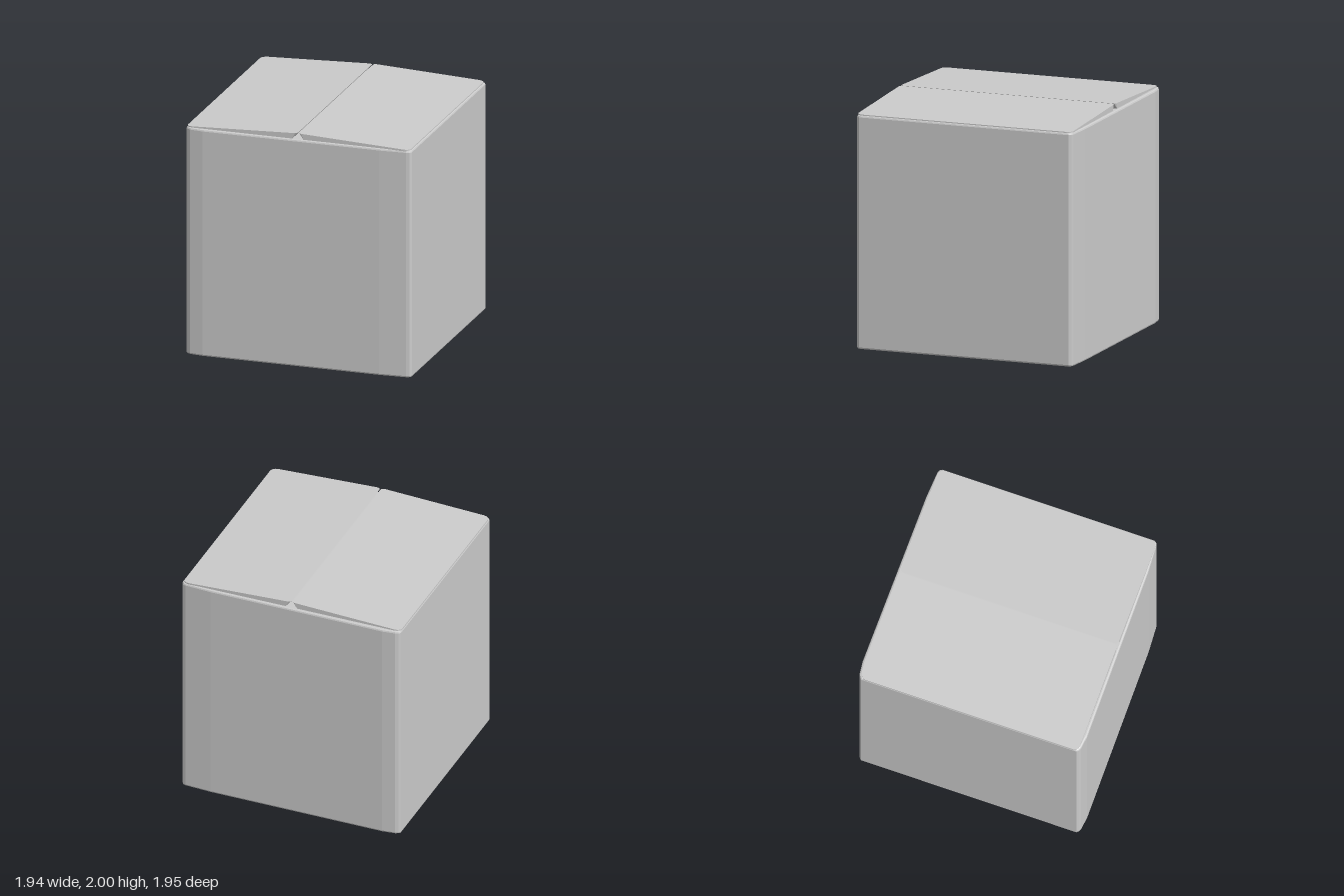
import * as THREE from 'three';

const material = new THREE.MeshStandardMaterial({ color: 0xcccccc, flatShading: true });

// Plan outline [x, z] -> shape that extrudes upward after rotateX(-90 degrees)
const planShape = (points) => new THREE.Shape(points.map(([x, z]) => new THREE.Vector2(x, -z)));

// Closed box with slightly bulging front and back walls and bevelled rims
function createBody() {
  const front = [[-0.97, 0.93], [-0.955, 0.945], [-0.93, 0.957], [-0.82, 0.97],
    [0.7, 0.96], [0.93, 0.946], [0.955, 0.938], [0.97, 0.915]];
  const back = front.map(([x, z]) => [x, -z - 0.005]).reverse();
  const bevel = 0.015;
  const geometry = new THREE.ExtrudeGeometry(planShape([...front, ...back]), {
    depth: 1.95 - 2 * bevel, bevelThickness: bevel, bevelSize: bevel,
    bevelOffset: -bevel, bevelSegments: 2,
  });
  geometry.rotateX(-Math.PI / 2).translate(0, bevel, 0);
  const body = new THREE.Mesh(geometry, material);
  body.name = 'boxBody';
  return body;
}

// Lid flap rising from the side wall to the centre seam, with an undercut seam edge
function createFlap(side) {
  const half = [[0.004, 0.915], [0.009, 0.932], [0.025, 0.943], [0.91, 0.943],
    [0.935, 0.938], [0.955, 0.922], [0.962, 0.9]];
  const outline = [...half, ...half.map(([x, z]) => [x, -z]).reverse()];
  const geometry = new THREE.ExtrudeGeometry(planShape(outline.map(([x, z]) => [x * side, z])), {
    depth: 1, bevelEnabled: false,
  });
  geometry.rotateX(-Math.PI / 2);
  const p = geometry.attributes.position;
  for (let i = 0; i < p.count; i++) {
    const x = Math.abs(p.getX(i));
    if (p.getY(i) > 0.5) {
      p.setY(i, 2 - 0.042 * x / 0.962);
    } else {
      p.setY(i, 1.946);
      p.setX(i, side * Math.max(x, 0.052));
    }
  }
  geometry.computeVertexNormals();
  const flap = new THREE.Mesh(geometry, material);
  flap.name = side > 0 ? 'leftFlap' : 'rightFlap';
  flap.position.x = -0.005;
  return flap;
}

export function createModel() {
  const box = new THREE.Group();
  box.name = 'cardboardBox';
  box.add(createBody(), createFlap(1), createFlap(-1));
  return box;
}
